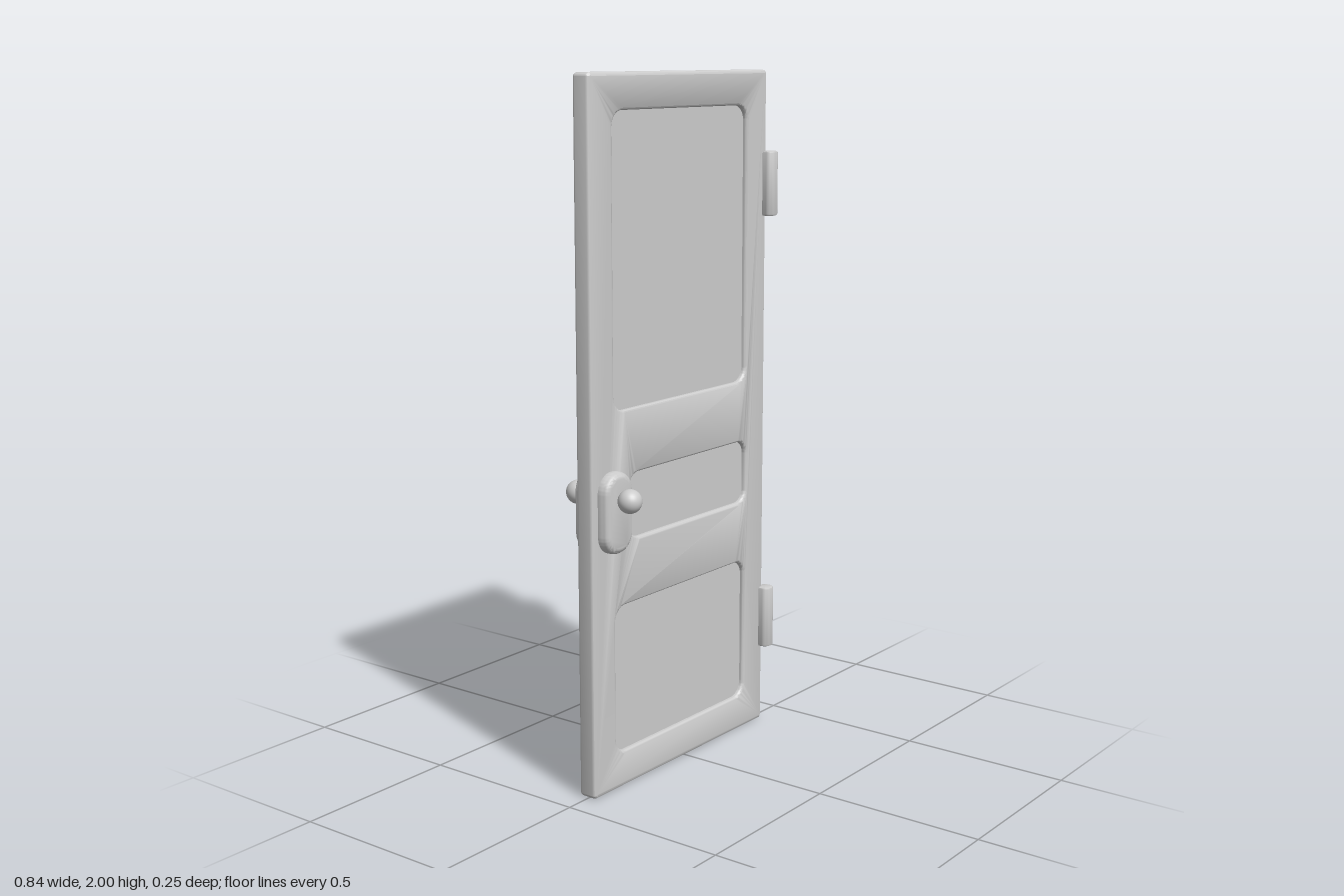
import * as THREE from 'three';
import { toCreasedNormals } from 'three/addons/utils/BufferGeometryUtils.js';

const material = new THREE.MeshStandardMaterial({ color: 0xcccccc });
const MID_Z = -0.002; // middle of the door's thickness

function addMesh(parent, geometry, name, x = 0, y = 0, z = 0) {
  const mesh = new THREE.Mesh(geometry, material);
  mesh.name = name;
  mesh.position.set(x, y, z);
  parent.add(mesh);
  return mesh;
}

// Traces a rounded rectangle onto a Shape or Path
function roundedRect(path, x0, y0, x1, y1, r) {
  path.absarc(x1 - r, y0 + r, r, -Math.PI / 2, 0);
  path.absarc(x1 - r, y1 - r, r, 0, Math.PI / 2);
  path.absarc(x0 + r, y1 - r, r, Math.PI / 2, Math.PI);
  path.absarc(x0 + r, y0 + r, r, Math.PI, Math.PI * 1.5);
  path.closePath();
  return path;
}

// Extrudes a shape to a total thickness centred on z = 0, edges rounded inwards
function roundedSlab(shape, thickness, bevel) {
  const geometry = new THREE.ExtrudeGeometry(shape, {
    depth: thickness - 2 * bevel, curveSegments: 8,
    bevelEnabled: true, bevelSize: bevel, bevelThickness: bevel,
    bevelOffset: -bevel, bevelSegments: 4,
  });
  geometry.translate(0, 0, bevel - thickness / 2);
  return toCreasedNormals(geometry, 0.7);
}

export function createModel() {
  const door = new THREE.Group();
  door.name = 'door';

  // Frame with three openings: x0, y0, x1, y1, corner radius
  const openings = [
    ['upperPanel', -0.322, 1.09, 0.293, 1.90, 0.045],
    ['middlePanel', -0.255, 0.72, 0.298, 0.907, 0.04],
    ['lowerPanel', -0.322, 0.105, 0.293, 0.535, 0.045],
  ];
  const outline = roundedRect(new THREE.Shape(), -0.422, 0, 0.393, 2, 0.013);
  for (const [, ...rect] of openings) {
    outline.holes.push(roundedRect(new THREE.Path(), ...rect));
  }
  addMesh(door, roundedSlab(outline, 0.056, 0.01), 'doorFrame', 0, 0, MID_Z);

  // Thin panels set back inside the openings
  for (const [name, x0, y0, x1, y1] of openings) {
    addMesh(door, new THREE.BoxGeometry(x1 - x0 + 0.02, y1 - y0 + 0.02, 0.026), name,
      (x0 + x1) / 2, (y0 + y1) / 2, MID_Z);
  }

  // Handle plate and round knob on each side
  const plateShape = roundedRect(new THREE.Shape(), -0.06, -0.115, 0.06, 0.115, 0.057);
  const plate = roundedSlab(plateShape, 0.06, 0.018);
  const knob = new THREE.SphereGeometry(0.034, 32, 20);
  for (const [label, side] of [['front', 1], ['back', -1]]) {
    addMesh(door, plate, label + 'HandlePlate', -0.338, 0.815, MID_Z + side * 0.03);
    addMesh(door, knob, label + 'Knob', -0.338, 0.855, MID_Z + side * 0.092);
  }

  // Hinge barrels with softened ends
  const profile = [[0, -0.095], [0.019, -0.095], [0.0235, -0.0932], [0.025, -0.089],
    [0.025, 0.089], [0.0235, 0.0932], [0.019, 0.095], [0, 0.095]]
    .map(([r, y]) => new THREE.Vector2(r, y));
  const hinge = toCreasedNormals(new THREE.LatheGeometry(profile, 28), 0.7);
  addMesh(door, hinge, 'upperHinge', 0.396, 1.67, 0.034);
  addMesh(door, hinge, 'lowerHinge', 0.396, 0.335, 0.034);

  return door;
}
